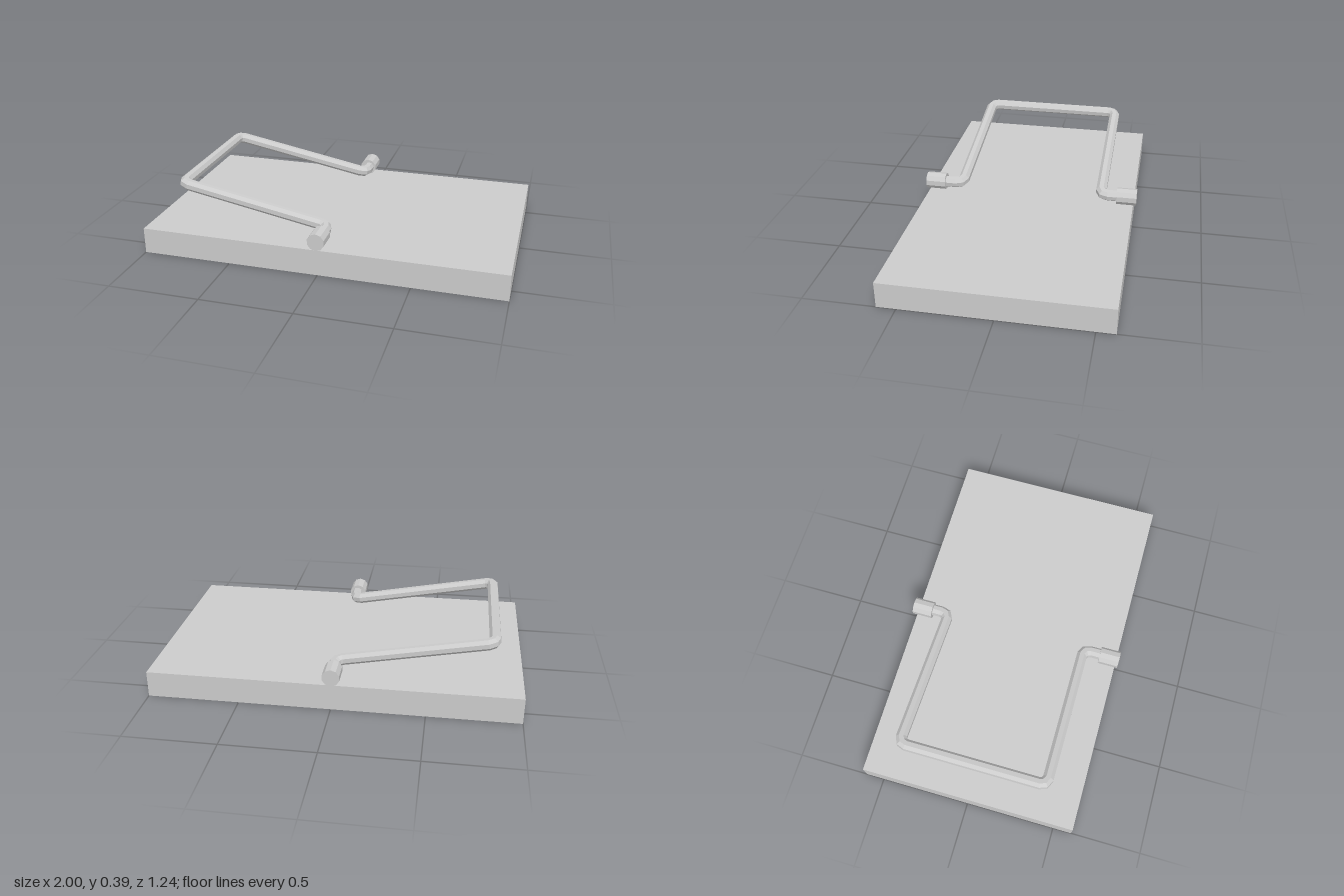
import * as THREE from 'three';

const material = new THREE.MeshStandardMaterial({ color: 0xcccccc, flatShading: true });

function addPart(group, name, geometry, x = 0, y = 0, z = 0) {
  const mesh = new THREE.Mesh(geometry, material);
  mesh.name = name;
  mesh.position.set(x, y, z);
  group.add(mesh);
  return mesh;
}

// Faceted rod following a flat path of [along, z] points, with mitred joints
function rodGeometry(path, along, radius, sides) {
  const across = new THREE.Vector3(0, 0, 1);
  const normal = new THREE.Vector3().crossVectors(along, across).normalize();
  const points = path.map(([s, z]) => along.clone().multiplyScalar(s).addScaledVector(across, z));
  const positions = [];
  const index = [];
  points.forEach((p, i) => {
    const before = p.clone().sub(points[Math.max(i - 1, 0)]).normalize();
    const after = points[Math.min(i + 1, points.length - 1)].clone().sub(p).normalize();
    const tangent = before.clone().add(after).normalize();
    const side = new THREE.Vector3().crossVectors(normal, tangent);
    const miter = radius / Math.max(tangent.dot(before), tangent.dot(after));
    for (let j = 0; j < sides; j++) {
      const a = ((j + 0.5) / sides) * Math.PI * 2;
      const v = p.clone()
        .addScaledVector(side, Math.cos(a) * miter)
        .addScaledVector(normal, Math.sin(a) * radius);
      positions.push(v.x, v.y, v.z);
      if (i < points.length - 1) {
        const k = (j + 1) % sides;
        const [b, c, d, e] = [i * sides + j, i * sides + k, (i + 1) * sides + k, (i + 1) * sides + j];
        index.push(b, c, d, b, d, e);
      }
    }
  });
  const geometry = new THREE.BufferGeometry();
  geometry.setAttribute('position', new THREE.Float32BufferAttribute(positions, 3));
  geometry.setIndex(index);
  geometry.computeVertexNormals();
  return geometry;
}

export function createModel() {
  const model = new THREE.Group();
  model.name = 'snapBoard';

  // Flat board
  addPart(model, 'board', new THREE.BoxGeometry(2, 0.145, 1.205), 0, 0.0725, 0.002);

  // Hinge caps at both ends of the wire
  const pivotY = 0.197;
  for (const [name, side] of [['frontHingeCap', 1], ['backHingeCap', -1]]) {
    const cap = new THREE.CylinderGeometry(0.048, 0.048, 0.113, 10).rotateX(Math.PI / 2);
    addPart(model, name, cap, -0.004, pivotY, side * 0.5615);
  }

  // Bent wire bail, sloping up towards its crossbar
  const half = [[0, 0.56], [0, 0.452], [0.01, 0.423], [0.038, 0.409], [0.815, 0.409], [0.843, 0.396], [0.853, 0.37]];
  const mirrored = half.map(([s, z]) => [s, -z]).reverse();
  const slope = new THREE.Vector3(-0.838, 0.158, 0).normalize();
  addPart(model, 'wireBail', rodGeometry([...half, ...mirrored], slope, 0.032, 8), 0, pivotY, -0.003);

  return model;
}
